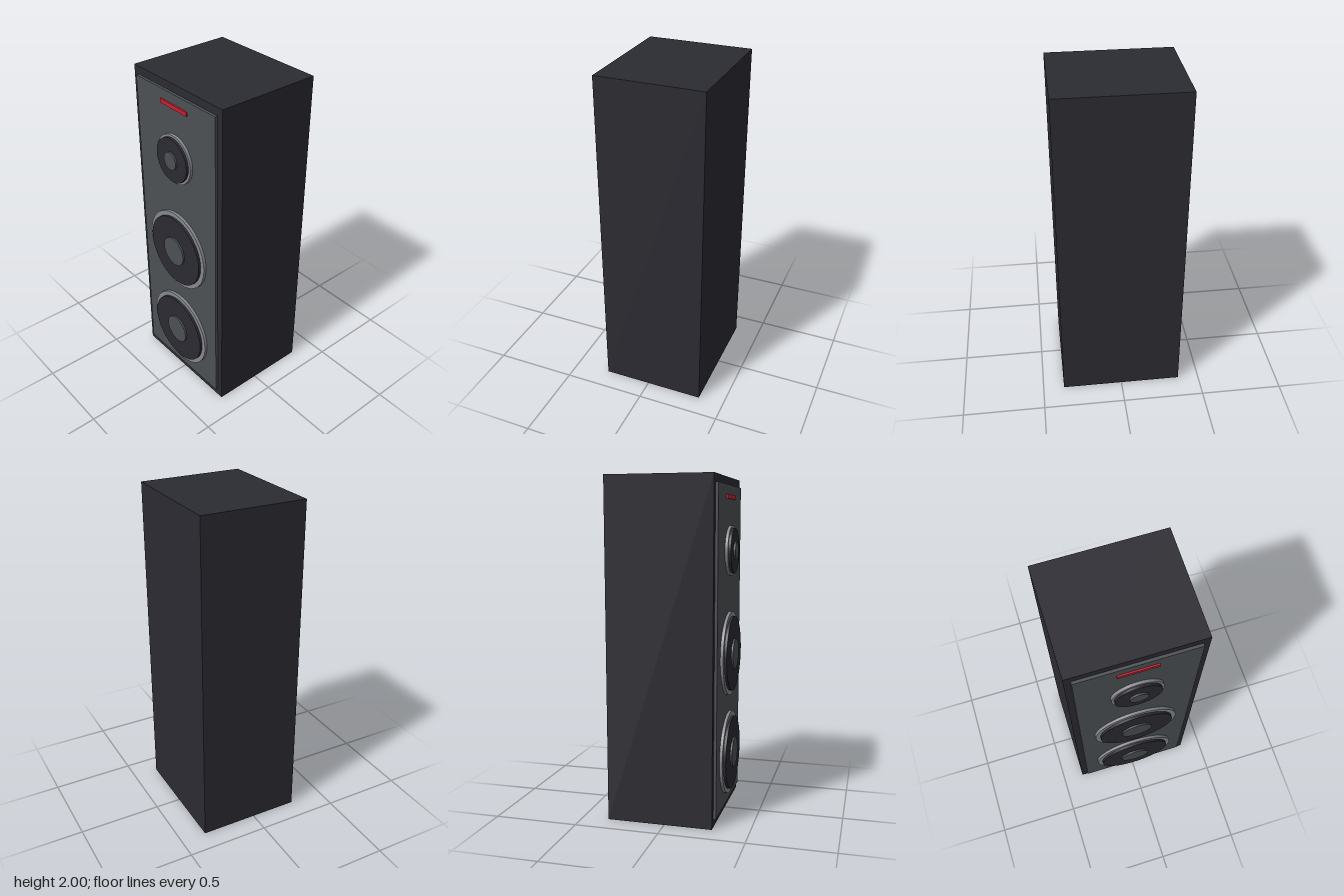
import * as THREE from 'three';

const mat = (name, color) => {
  const m = new THREE.MeshStandardMaterial({ color });
  m.name = name;
  return m;
};

export function createModel() {
  const black = mat('cabinet black', 0x2b2b32);
  const grey = mat('baffle grey', 0x4d5054);
  const silver = mat('ring silver', 0x86888f);
  const red = mat('indicator red', 0xc82032);

  const model = new THREE.Group();
  model.name = 'floorSpeaker';

  // Box given by its width, bottom/top and back/front limits
  const box = (name, width, y0, y1, z0, z1, material) => {
    const mesh = new THREE.Mesh(new THREE.BoxGeometry(width, y1 - y0, z1 - z0), material);
    mesh.position.set(0, (y0 + y1) / 2, (z0 + z1) / 2);
    mesh.name = name;
    model.add(mesh);
  };

  // Disc facing +z
  const disc = (name, radius, z0, z1, material) => {
    const geometry = new THREE.CylinderGeometry(radius, radius, z1 - z0, 48).rotateX(Math.PI / 2);
    const mesh = new THREE.Mesh(geometry, material);
    mesh.position.z = (z0 + z1) / 2;
    mesh.name = name;
    return mesh;
  };

  // Cabinet, front baffle and indicator light
  box('cabinet', 0.74, 0, 2, -0.343, 0.284, black);
  box('baffle', 0.666, 0.05, 1.953, 0.27, 0.3, grey);
  box('indicatorLight', 0.222, 1.873, 1.897, 0.29, 0.309, red);

  // Drivers: stepped stack of trim ring, cone and dust cap
  const drivers = [
    ['tweeter', 1.576, 0.146, 0.132, 0.052],
    ['upperWoofer', 0.967, 0.25, 0.222, 0.09],
    ['lowerWoofer', 0.357, 0.25, 0.222, 0.09],
  ];
  for (const [name, y, ringR, coneR, capR] of drivers) {
    const driver = new THREE.Group();
    driver.name = name;
    driver.position.y = y;
    driver.add(
      disc('trimRing', ringR, 0.29, 0.317, silver),
      disc('cone', coneR, 0.3, 0.332, black),
      disc('dustCap', capR, 0.31, 0.343, grey),
    );
    model.add(driver);
  }
  return model;
}
